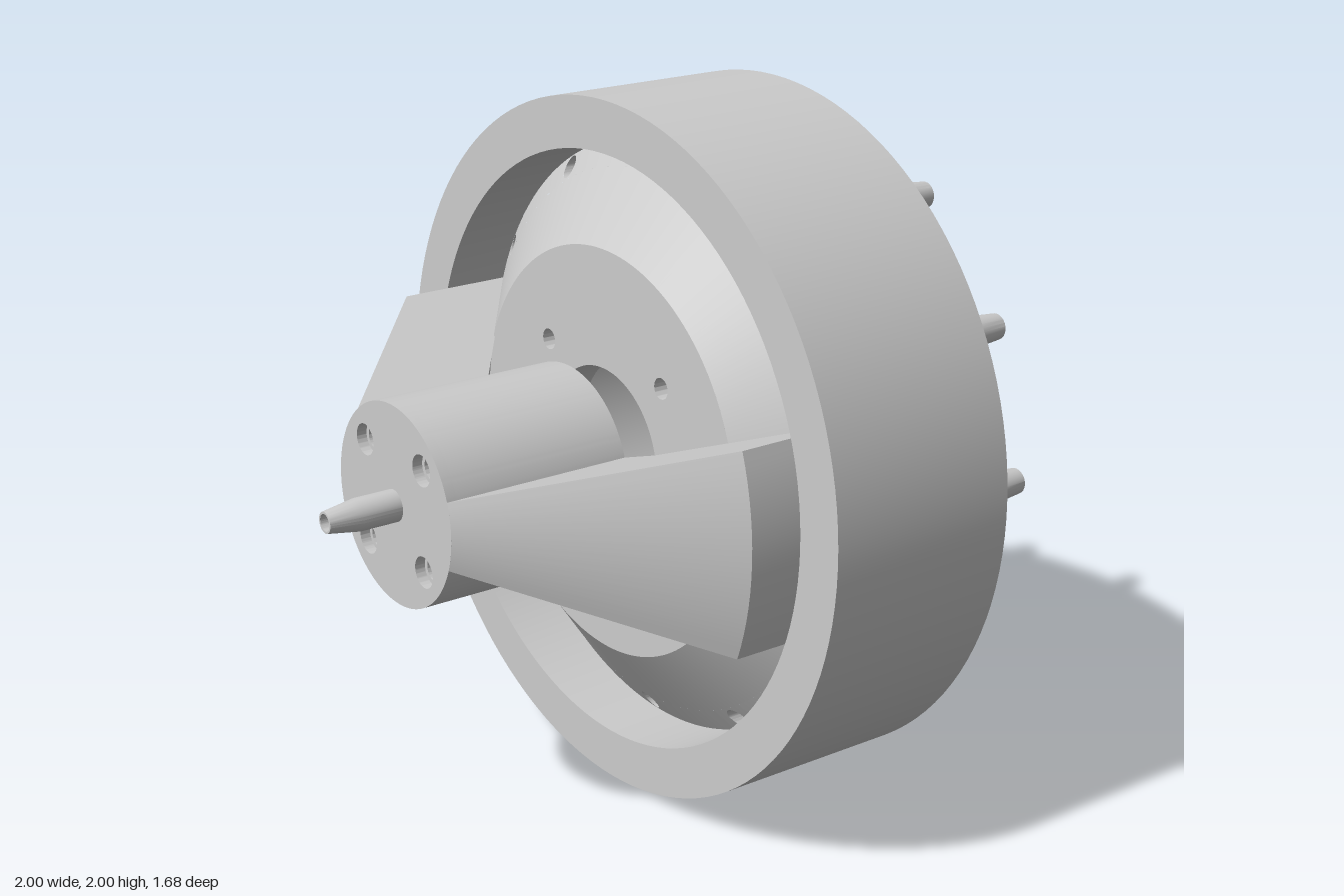
import * as THREE from 'three';
import { toCreasedNormals } from 'three/addons/utils/BufferGeometryUtils.js';

const FRONT = -0.05, BACK = -0.63;       // ring faces along z
const R_OPEN = 0.855, R_PLATE = 0.59;    // groove wall and plate radius
const PIN_R = 0.822, BORE = 0.03, PINS = 12;

const grey = new THREE.MeshStandardMaterial({ color: 0xcccccc });
const greyDouble = new THREE.MeshStandardMaterial({ color: 0xcccccc, side: THREE.DoubleSide });

// height of the conical groove floor at a radius
const coneZ = (r) => FRONT - (r - R_PLATE) * 0.2 / (R_OPEN - R_PLATE);
const v2 = (pts) => pts.map(([r, z]) => new THREE.Vector2(r, z));

// profile of [radius, z] pairs revolved around the z axis; phi 90 degrees is +x
function revolve(pts, segments = 120, start = 0, length = Math.PI * 2) {
  const g = new THREE.LatheGeometry(v2(pts), segments, start, length);
  g.rotateX(Math.PI / 2);
  return toCreasedNormals(g, 0.35);
}

// round disc with holes given as [x, y, radius]
function discShape(radius, holes) {
  const s = new THREE.Shape().absarc(0, 0, radius, 0, Math.PI * 2);
  for (const [x, y, r] of holes) s.holes.push(new THREE.Path().absarc(x, y, r, 0, Math.PI * 2, true));
  return s;
}

function disc(radius, holes, z0, z1) {
  const g = new THREE.ExtrudeGeometry(discShape(radius, holes), { depth: z1 - z0, bevelEnabled: false, curveSegments: 96 });
  g.translate(0, 0, z0);
  return toCreasedNormals(g, 0.35);
}

const square = (d, r) => [[d, d, r], [-d, d, r], [-d, -d, r], [d, -d, r]];
const pinAngles = Array.from({ length: PINS }, (_, i) => i * Math.PI * 2 / PINS);
const pinHoles = pinAngles.map((a) => [PIN_R * Math.cos(a), PIN_R * Math.sin(a), BORE]);

// small piece of the conical floor with one bore in it
function borePatch(half, rIn) {
  const pts = [];
  for (let i = 0; i <= 3; i++) pts.push([R_OPEN, -half + i * half * 2 / 3]);
  for (let i = 3; i >= 0; i--) pts.push([rIn, -half + i * half * 2 / 3]);
  const shape = new THREE.Shape(pts.map(([r, a]) => new THREE.Vector2(r * Math.cos(a), r * Math.sin(a))));
  shape.holes.push(new THREE.Path().absarc(PIN_R, 0, BORE, 0, Math.PI * 2, true));
  const g = new THREE.ShapeGeometry(shape, 24);
  const p = g.attributes.position, n = g.attributes.normal;
  for (let i = 0; i < p.count; i++) {
    const x = p.getX(i), y = p.getY(i), r = Math.hypot(x, y);
    p.setZ(i, coneZ(r));
    const v = new THREE.Vector3(0.2 * x / r, 0.2 * y / r, R_OPEN - R_PLATE).normalize();
    n.setXYZ(i, v.x, v.y, v.z);
  }
  return g;
}

// hollow tapered pin whose bore runs forward and is trimmed to the cone
function rearPin() {
  const g = revolve([
    [BORE, -0.2], [BORE, -0.84], [0.036, -0.84], [0.045, -0.74], [0.045, BACK],
  ], 24);
  const p = g.attributes.position;
  for (let i = 0; i < p.count; i++) {
    if (p.getZ(i) > -0.4) p.setZ(i, coneZ(Math.hypot(p.getX(i) + PIN_R, p.getY(i))));
  }
  return g.translate(PIN_R, 0, 0);
}

// wedge-shaped arm: a revolved section closed by two flat sides
function makeStrut() {
  const half = THREE.MathUtils.degToRad(19.6);
  const profile = [
    [0.26, 0.07], [0.425, 0.07], [R_PLATE, FRONT - 0.005], [0.848, coneZ(0.848) - 0.005],
    [0.848, 0.1], [0.283, 0.63], [0.26, 0.63],
  ];
  const strut = new THREE.Group();
  const body = new THREE.Mesh(revolve([...profile, profile[0]], 14, Math.PI / 2 - half, half * 2), grey);
  body.name = 'strutBody';
  strut.add(body);
  for (const s of [-1, 1]) {
    const g = new THREE.ShapeGeometry(new THREE.Shape(v2(profile)));
    g.rotateX(Math.PI / 2).rotateZ(s * half);
    const side = new THREE.Mesh(g, greyDouble);
    side.name = 'strutSide';
    strut.add(side);
  }
  return strut;
}

export function createModel() {
  const model = new THREE.Group();
  model.name = 'hubAndRing';
  const assembly = new THREE.Group();
  assembly.name = 'assembly';
  assembly.position.y = 1;
  model.add(assembly);
  const add = (name, geometry, material = grey, parent = assembly) => {
    const m = new THREE.Mesh(geometry, material);
    m.name = name;
    parent.add(m);
    return m;
  };

  // ring walls, front rim, rear pocket wall
  add('ringOuter', revolve([[1, BACK], [1, FRONT], [R_OPEN, FRONT], [R_OPEN, coneZ(R_OPEN)]]));
  add('rearPocketWall', revolve([[0.585, -0.16], [0.585, BACK]]));

  // rear face with bores
  const rear = new THREE.ShapeGeometry(discShape(1, [[0, 0, 0.585], ...pinHoles]), 96);
  add('rearFace', rear.rotateY(Math.PI).translate(0, 0, BACK));

  // conical groove floor
  const rMid = 0.785, half = THREE.MathUtils.degToRad(4.5);
  add('grooveFloor', revolve([[rMid, coneZ(rMid)], [R_PLATE, FRONT]]));

  // outer strip of the floor, alternating plain and bored pieces, with the rear pins
  const patch = borePatch(half, rMid), pin = rearPin();
  const plain = revolve([[R_OPEN, coneZ(R_OPEN)], [rMid, coneZ(rMid)]], 7,
    Math.PI / 2 + half, Math.PI * 2 / PINS - half * 2);
  for (const a of pinAngles) {
    const station = new THREE.Group();
    station.name = 'pinStation';
    station.rotation.z = a;
    add('boredFloor', patch, grey, station);
    add('plainFloor', plain, grey, station);
    add('rearPin', pin, grey, station);
    assembly.add(station);
  }

  // centre plate with a large opening and four bolt holes
  add('centrePlate', disc(R_PLATE, [[0, 0, 0.25], ...square(0.265, 0.03)], -0.16, FRONT));

  // hub with four counterbored holes
  add('hubBody', disc(0.283, square(0.143, 0.032), 0.07, 0.6));
  add('hubFace', disc(0.283, square(0.143, 0.044), 0.6, 0.63));

  // tapered front spindle with a blind bore
  add('spindle', revolve([
    [0.045, 0.63], [0.045, 0.745], [0.03, 0.84], [0.024, 0.84], [0.024, 0.65], [0, 0.65],
  ], 32));

  // two opposite struts
  ['leftStrut', 'rightStrut'].forEach((name, i) => {
    const strut = makeStrut();
    strut.name = name;
    strut.rotation.z = i * Math.PI;
    assembly.add(strut);
  });
  return model;
}
